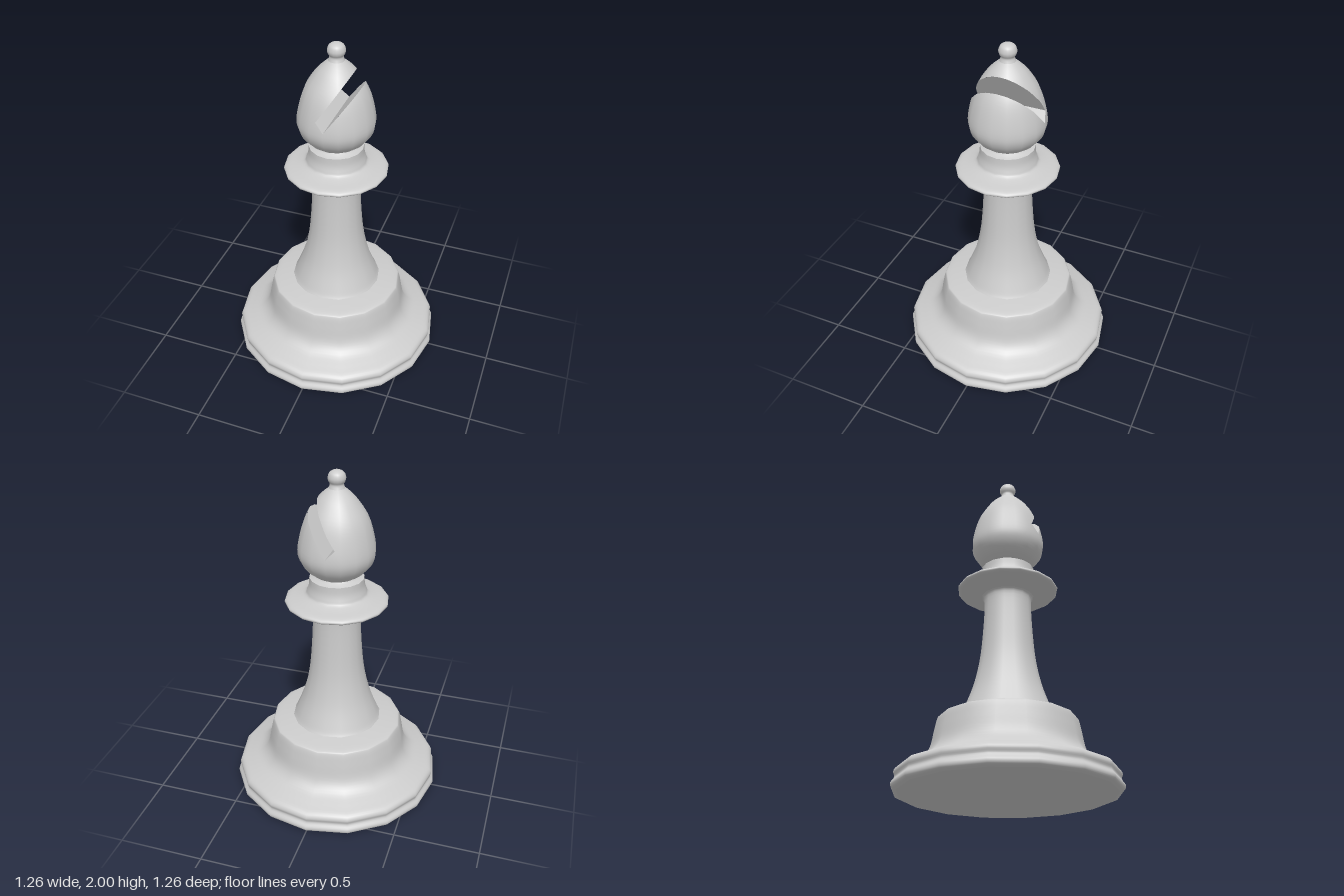
import * as THREE from 'three';

const SIDES = 16;
const grey = new THREE.MeshStandardMaterial({ color: 0xcccccc });

const toPoints = (pairs) => pairs.map(([r, y]) => new THREE.Vector2(r, y));

// Smooth profile through a few [radius, height] points
function smooth(pairs, steps) {
  const pts = new THREE.SplineCurve(toPoints(pairs)).getPoints(steps);
  pts.forEach((p) => { p.x = Math.max(p.x, 0); });
  return pts;
}

function turned(name, points) {
  const mesh = new THREE.Mesh(new THREE.LatheGeometry(points, SIDES), grey);
  mesh.name = name;
  return mesh;
}

// Radius of a profile at height y
function radiusAt(profile, y) {
  for (let i = 1; i < profile.length; i++) {
    const a = profile[i - 1], b = profile[i];
    if (y >= a.y && y <= b.y) return a.x + (b.x - a.x) * (y - a.y) / (b.y - a.y);
  }
  return 0;
}

// Half depth in z of the many-sided cross-section of radius r at x
function halfDepth(r, x) {
  for (let k = 0; k < SIDES / 2; k++) {
    const a = k * 2 * Math.PI / SIDES, b = (k + 1) * 2 * Math.PI / SIDES;
    const xa = r * Math.cos(a), xb = r * Math.cos(b);
    if (x <= xa && x >= xb) {
      const t = (xa - x) / (xa - xb || 1);
      return r * (Math.sin(a) + (Math.sin(b) - Math.sin(a)) * t);
    }
  }
  return 0;
}

// Part of a polygon on one side of a line; vertices are [x, y, z, nx, ny, nz]
function clip(poly, side) {
  const out = [];
  poly.forEach((p, i) => {
    const q = poly[(i + 1) % poly.length];
    const dp = side(p), dq = side(q);
    if (dp >= 0) out.push(p);
    if ((dp > 0 && dq < 0) || (dp < 0 && dq > 0)) {
      const t = dp / (dp - dq);
      out.push(p.map((v, j) => v + (q[j] - v) * t));
    }
  });
  return out;
}

// Skin of the head with the slanted slot removed
function slottedSkin(profile, edges) {
  const geo = new THREE.LatheGeometry(profile, SIDES).toNonIndexed();
  const P = geo.attributes.position, N = geo.attributes.normal;
  const pos = [], nor = [];
  const emit = (poly) => {
    for (let i = 1; i + 1 < poly.length; i++) {
      for (const v of [poly[0], poly[i], poly[i + 1]]) {
        pos.push(v[0], v[1], v[2]);
        nor.push(v[3], v[4], v[5]);
      }
    }
  };
  for (let i = 0; i < P.count; i += 3) {
    let rest = [0, 1, 2].map((j) => [
      P.getX(i + j), P.getY(i + j), P.getZ(i + j),
      N.getX(i + j), N.getY(i + j), N.getZ(i + j)]);
    for (const [a, b] of edges) {
      const inside = (v) => (b.x - a.x) * (v[1] - a.y) - (b.y - a.y) * (v[0] - a.x);
      emit(clip(rest, (v) => -inside(v)));
      rest = clip(rest, inside);
      if (rest.length < 3) break;
    }
  }
  const skin = new THREE.BufferGeometry();
  skin.setAttribute('position', new THREE.Float32BufferAttribute(pos, 3));
  skin.setAttribute('normal', new THREE.Float32BufferAttribute(nor, 3));
  return skin;
}

// Flat wall of the slot, running through the head along z
function slotWall(profile, a, b) {
  const steps = 48, pos = [];
  const row = [];
  for (let i = 0; i <= steps; i++) {
    const p = a.clone().lerp(b, i / steps);
    row.push([p.x, p.y, halfDepth(radiusAt(profile, p.y), p.x)]);
  }
  for (let i = 0; i < steps; i++) {
    const [x0, y0, z0] = row[i], [x1, y1, z1] = row[i + 1];
    if (z0 === 0 && z1 === 0) continue;
    pos.push(x0, y0, z0, x1, y1, z1, x0, y0, -z0);
    pos.push(x1, y1, z1, x1, y1, -z1, x0, y0, -z0);
  }
  const geo = new THREE.BufferGeometry();
  geo.setAttribute('position', new THREE.Float32BufferAttribute(pos, 3));
  geo.computeVertexNormals();
  return geo;
}

// Where a line from a inside the head towards b meets the outline
function exitPoint(profile, a, b) {
  let lo = 0, hi = 2;
  for (let i = 0; i < 40; i++) {
    const t = (lo + hi) / 2;
    const p = a.clone().lerp(b, t);
    if (radiusAt(profile, p.y) > Math.abs(p.x)) lo = t; else hi = t;
  }
  return a.clone().lerp(b, lo);
}

export function createModel() {
  const model = new THREE.Group();
  model.name = 'chessBishop';

  // Foot and pedestal
  model.add(turned('underside', toPoints([[0, 0], [0.6, 0]])));
  model.add(turned('base', smooth([
    [0.6, 0], [0.626, 0.012], [0.63, 0.035], [0.612, 0.065], [0.618, 0.095],
    [0.6, 0.122], [0.545, 0.145], [0.475, 0.178], [0.432, 0.235], [0.412, 0.33],
    [0.397, 0.4], [0.38, 0.418], [0.32, 0.43], [0.268, 0.438]], 52)));

  // Stem
  model.add(turned('stem', smooth([
    [0.268, 0.438], [0.25, 0.475], [0.2, 0.61], [0.165, 0.77], [0.147, 0.96],
    [0.14, 1.15], [0.155, 1.187]], 30)));

  // Collar and neck ring
  model.add(turned('collar', smooth([
    [0.155, 1.187], [0.22, 1.204], [0.285, 1.218], [0.3, 1.234], [0.28, 1.25],
    [0.225, 1.262], [0.183, 1.277], [0.17, 1.3], [0.16, 1.335], [0.157, 1.378]], 36)));
  model.add(turned('neckRing', toPoints([[0.157, 1.378], [0.13, 1.387], [0.124, 1.397]])));

  // Head with slanted slot
  const profile = smooth([
    [0.124, 1.397], [0.17, 1.432], [0.208, 1.485], [0.22, 1.55], [0.2, 1.66],
    [0.168, 1.75], [0.115, 1.832], [0.075, 1.875], [0.045, 1.9]], 32);
  const leftLow = new THREE.Vector2(-0.048, 1.62);
  const rightLow = new THREE.Vector2(0, 1.57);
  const leftTop = exitPoint(profile, leftLow, new THREE.Vector2(0.106, 1.855));
  const rightTop = exitPoint(profile, rightLow, new THREE.Vector2(0.159, 1.786));
  const edges = [[leftTop, leftLow], [leftLow, rightLow], [rightLow, rightTop]];

  const head = new THREE.Group();
  head.name = 'head';
  const skin = new THREE.Mesh(slottedSkin(profile, edges), grey);
  skin.name = 'headSkin';
  head.add(skin);
  ['slotUpperWall', 'slotFloor', 'slotLowerWall'].forEach((name, i) => {
    const wall = new THREE.Mesh(slotWall(profile, ...edges[i]), grey);
    wall.name = name;
    head.add(wall);
  });
  model.add(head);

  // Finial
  model.add(turned('finial', smooth([
    [0.045, 1.9], [0.038, 1.922], [0.047, 1.94], [0.05, 1.958], [0.042, 1.982],
    [0.022, 1.996], [0, 2]], 24)));

  return model;
}
